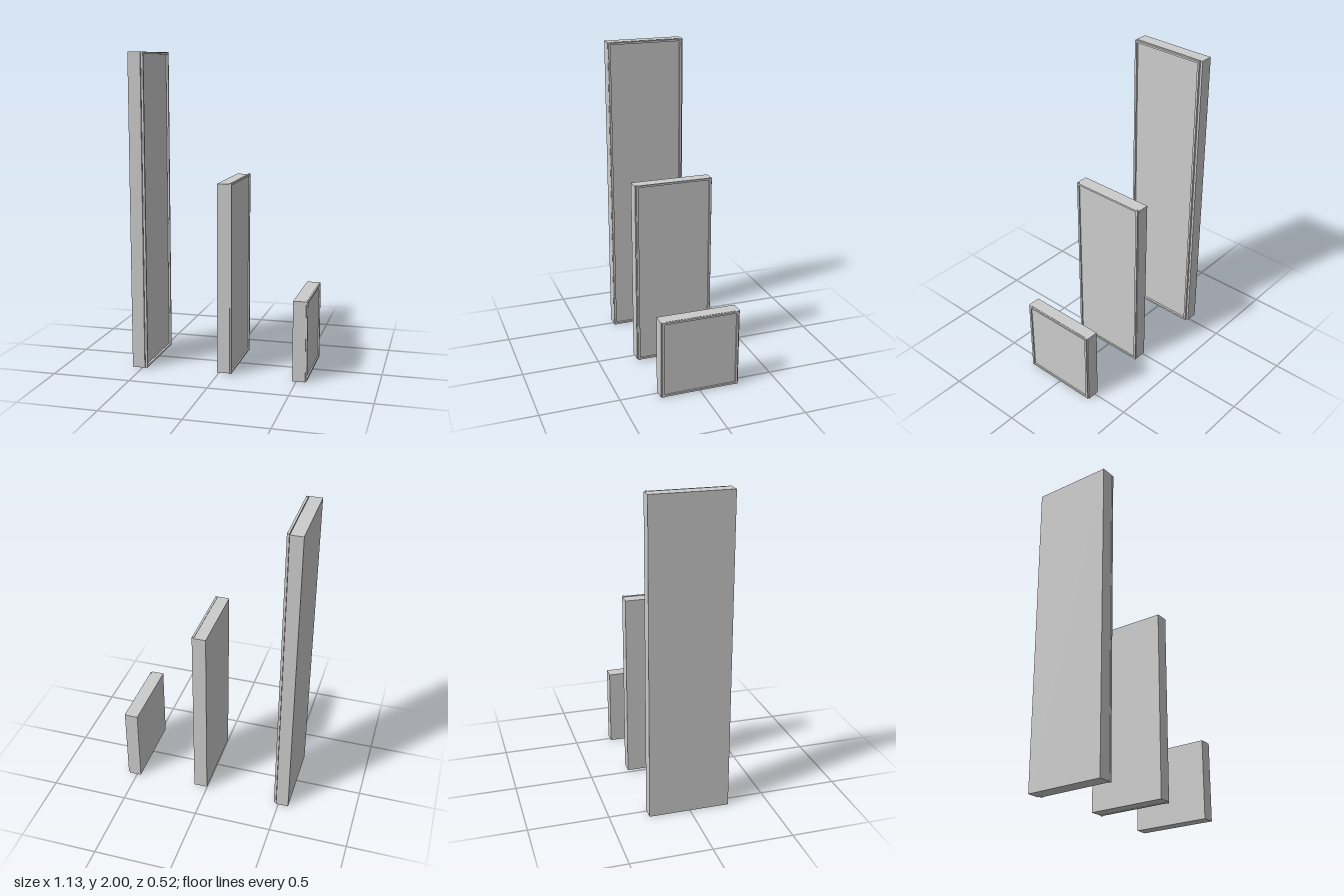
import * as THREE from 'three';

const material = new THREE.MeshStandardMaterial({ color: 0xcccccc, flatShading: true });

// Box given by its min and max corners
function box(name, [x0, y0, z0], [x1, y1, z1]) {
  const mesh = new THREE.Mesh(new THREE.BoxGeometry(x1 - x0, y1 - y0, z1 - z0), material);
  mesh.name = name;
  mesh.position.set((x0 + x1) / 2, (y0 + y1) / 2, (z0 + z1) / 2);
  return mesh;
}

// Thin square-section strip frame: two upright strips and two rails between them
function stripFrame([x0, y0, z0], [x1, y1, z1], inset) {
  const t = 0.014;
  const group = new THREE.Group();
  group.name = 'stripFrame';
  group.add(
    box('backStrip', [x0, y0, z0], [x1, y1, z0 + t]),
    box('frontStrip', [x0, y0, z1 - t], [x1, y1, z1]),
    box('topRail', [x0, y1 - t, z0 + t], [x1, y1 - inset, z1 - t]),
    box('bottomRail', [x0, y0 + inset, z0 + t], [x1, y0 + t, z1 - t])
  );
  return group;
}

export function createModel() {
  const model = new THREE.Group();
  model.name = 'doorPanels';

  // Slab corners, then frame corners, for each panel
  const panels = [
    ['tallPanel', [-0.567, 0, -0.26], [-0.486, 2, 0.25], [-0.482, 0, -0.248], [-0.468, 2, 0.25]],
    ['middlePanel', [-0.002, 0.015, -0.252], [0.079, 1.21, 0.257], [0.075, 0.01, -0.248], [0.088, 1.215, 0.25]],
    ['shortPanel', [0.475, 0, -0.255], [0.556, 0.508, 0.255], [0.552, 0.003, -0.248], [0.565, 0.508, 0.248]],
  ];
  for (const [name, a, b, c, d] of panels) {
    const panel = new THREE.Group();
    panel.name = name;
    panel.add(box('slab', a, b), stripFrame(c, d, 0.002));
    model.add(panel);
  }
  return model;
}
